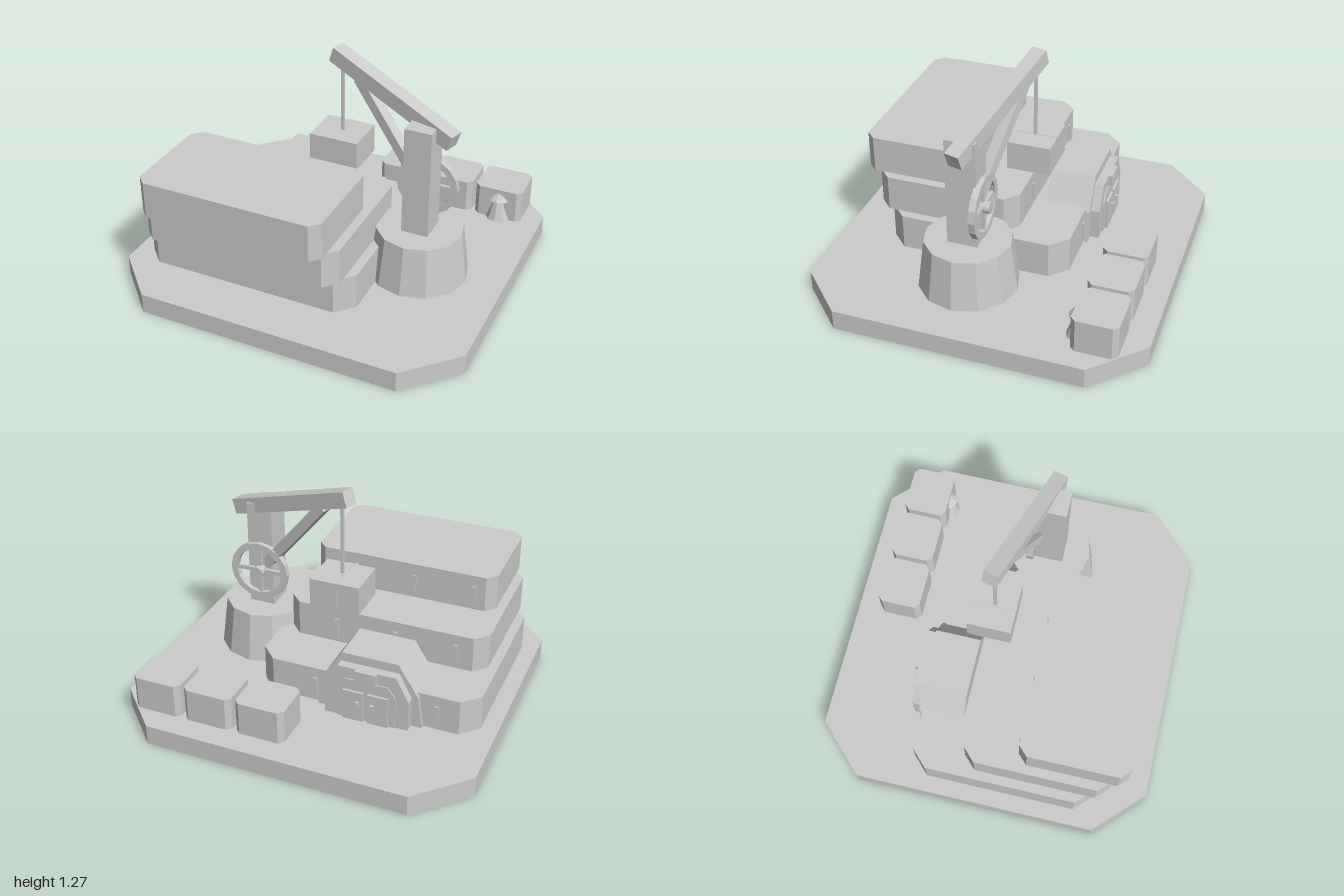
import * as THREE from 'three';

const stone = new THREE.MeshStandardMaterial({ color: 0xcbcbcb, side: THREE.DoubleSide });
stone.name = 'stone grey';

export function createModel() {
  const root = new THREE.Group();
  root.name = 'craneDepot';

  // Adds a faceted mesh
  function add(name, geometry, x = 0, y = 0, z = 0, parent = root) {
    const faceted = geometry.index ? geometry.toNonIndexed() : geometry;
    faceted.computeVertexNormals();
    const mesh = new THREE.Mesh(faceted, stone);
    mesh.name = name;
    mesh.position.set(x, y, z);
    parent.add(mesh);
    return mesh;
  }
  const box = (w, h, d) => new THREE.BoxGeometry(w, h, d);

  // Box given by its limits
  function block(name, x0, x1, y0, y1, z0, z1) {
    return add(name, box(x1 - x0, y1 - y0, z1 - z0), (x0 + x1) / 2, (y0 + y1) / 2, (z0 + z1) / 2);
  }

  // Slab with its four vertical corners cut off
  function slabGeometry(x0, x1, y0, y1, z0, z1, c) {
    const s = new THREE.Shape([
      [x0 + c, -z1], [x1 - c, -z1], [x1, -z1 + c], [x1, -z0 - c],
      [x1 - c, -z0], [x0 + c, -z0], [x0, -z0 - c], [x0, -z1 + c],
    ].map(p => new THREE.Vector2(...p)));
    const g = new THREE.ExtrudeGeometry(s, { depth: y1 - y0, bevelEnabled: false });
    return g.rotateX(-Math.PI / 2).translate(0, y0, 0);
  }

  // Square bar between two points, its height axis kept upright
  function bar(name, a, b, w, h) {
    const from = new THREE.Vector3(...a), to = new THREE.Vector3(...b);
    const mid = from.clone().add(to).multiplyScalar(0.5);
    const mesh = add(name, box(w, h, from.distanceTo(to)), mid.x, mid.y, mid.z);
    mesh.lookAt(to);
    return mesh;
  }

  // Symmetric arch: right-hand profile points mirrored, extruded along z
  function arch(name, half, z0, z1) {
    const pts = [...half, ...half.map(([x, y]) => [-x, y]).reverse()];
    const s = new THREE.Shape(pts.map(p => new THREE.Vector2(...p)));
    return add(name, new THREE.ExtrudeGeometry(s, { depth: z1 - z0, bevelEnabled: false }), -0.322, 0, z0);
  }

  // Ground plate: a hollow shell, open below (the lower lid is the first six triangles)
  const solid = slabGeometry(-1, 1, 0, 0.115, -0.95, 0.95, 0.265);
  const shell = new THREE.BufferGeometry();
  shell.setAttribute('position', new THREE.BufferAttribute(solid.attributes.position.array.slice(6 * 9), 3));
  add('groundPlate', shell);

  // Stepped building with slit windows on the back of each tier
  const tiers = [
    [-0.908, 0.349, 0.115, 0.32, -0.383, 0.655, 0.093],
    [-0.857, 0.298, 0.32, 0.525, -0.087, 0.732, 0.07],
    [-0.807, 0.248, 0.522, 0.732, 0.21, 0.812, 0.052],
  ];
  for (const t of tiers) {
    add('buildingTier', slabGeometry(...t));
    for (const x of [-0.69, -0.345, 0])
      add('slitWindow', box(0.023, 0.107, 0.02), x, t[2] + 0.092, t[4]);
  }

  // Entrance porch
  arch('porchBody', [[0.298, 0.115], [0.272, 0.3], [0.16, 0.478]], -0.405, -0.147);
  arch('porchFrame', [[0.236, 0.115], [0.236, 0.29], [0.165, 0.427]], -0.455, -0.4);
  arch('porchInset', [[0.165, 0.115], [0.165, 0.3], [0.12, 0.36]], -0.462, -0.45);
  add('doorPlaque', box(0.12, 0.065, 0.03), -0.322, 0.395, -0.462);
  for (const side of [-1, 1]) {
    add('door', box(0.115, 0.18, 0.02), -0.322 + side * 0.07, 0.205, -0.466);
    add('doorHandle', box(0.02, 0.025, 0.02), -0.322 + side * 0.042, 0.228, -0.483);
  }

  // Crane pedestal and post
  add('cranePedestal', new THREE.CylinderGeometry(0.24, 0.277, 0.285, 12), 0.516, 0.2575, 0.103);
  block('cranePost', 0.441, 0.591, 0.4, 1.02, 0.024, 0.192);

  // Jib and brace
  bar('craneJib', [0.68, 0.96, 0.106], [-0.078, 1.226, -0.1], 0.085, 0.088);
  bar('craneBrace', [0.48, 0.655, 0.052], [0.085, 1.13, -0.055], 0.06, 0.058);

  // Hoist rope and hanging load with its strap
  block('hoistRope', -0.042, -0.025, 0.76, 1.19, -0.097, -0.08);
  block('hangingLoad', -0.18, 0.104, 0.602, 0.766, -0.215, 0.03);
  block('loadStrap', -0.051, -0.025, 0.6, 0.768, -0.217, 0.032);

  // Winch wheel: rim, four spokes and hub
  const wheel = new THREE.Group();
  wheel.name = 'winchWheel';
  wheel.position.set(0.517, 0.615, 0.015);
  root.add(wheel);
  const rim = new THREE.Shape().absarc(0, 0, 0.175, 0, Math.PI * 2);
  rim.holes.push(new THREE.Path().absarc(0, 0, 0.138, 0, Math.PI * 2, true));
  add('wheelRim', new THREE.ExtrudeGeometry(rim, { depth: 0.036, bevelEnabled: false, curveSegments: 8 }), 0, 0, -0.018, wheel);
  add('wheelSpoke', box(0.3, 0.024, 0.02), 0, 0, 0, wheel);
  add('wheelSpoke', box(0.024, 0.3, 0.02), 0, 0, 0, wheel);
  const hub = new THREE.CylinderGeometry(0.034, 0.034, 0.06, 12);
  hub.rotateX(Math.PI / 2);
  add('wheelHub', hub, 0, 0, -0.014, wheel);

  // Row of crates along the back edge
  for (let i = 0; i < 3; i++) {
    const x = -0.003 + i * 0.304;
    add('crate', slabGeometry(x, x + 0.28, 0.115, 0.306, -0.817, -0.567, 0.028));
  }

  // Small bollard with a conical cap
  const profile = [[0, 0.115], [0.075, 0.115], [0.034, 0.24], [0.066, 0.24], [0.022, 0.285], [0, 0.285]];
  add('bollard', new THREE.LatheGeometry(profile.map(p => new THREE.Vector2(...p)), 10), 0.75, 0, -0.592);

  return root;
}
